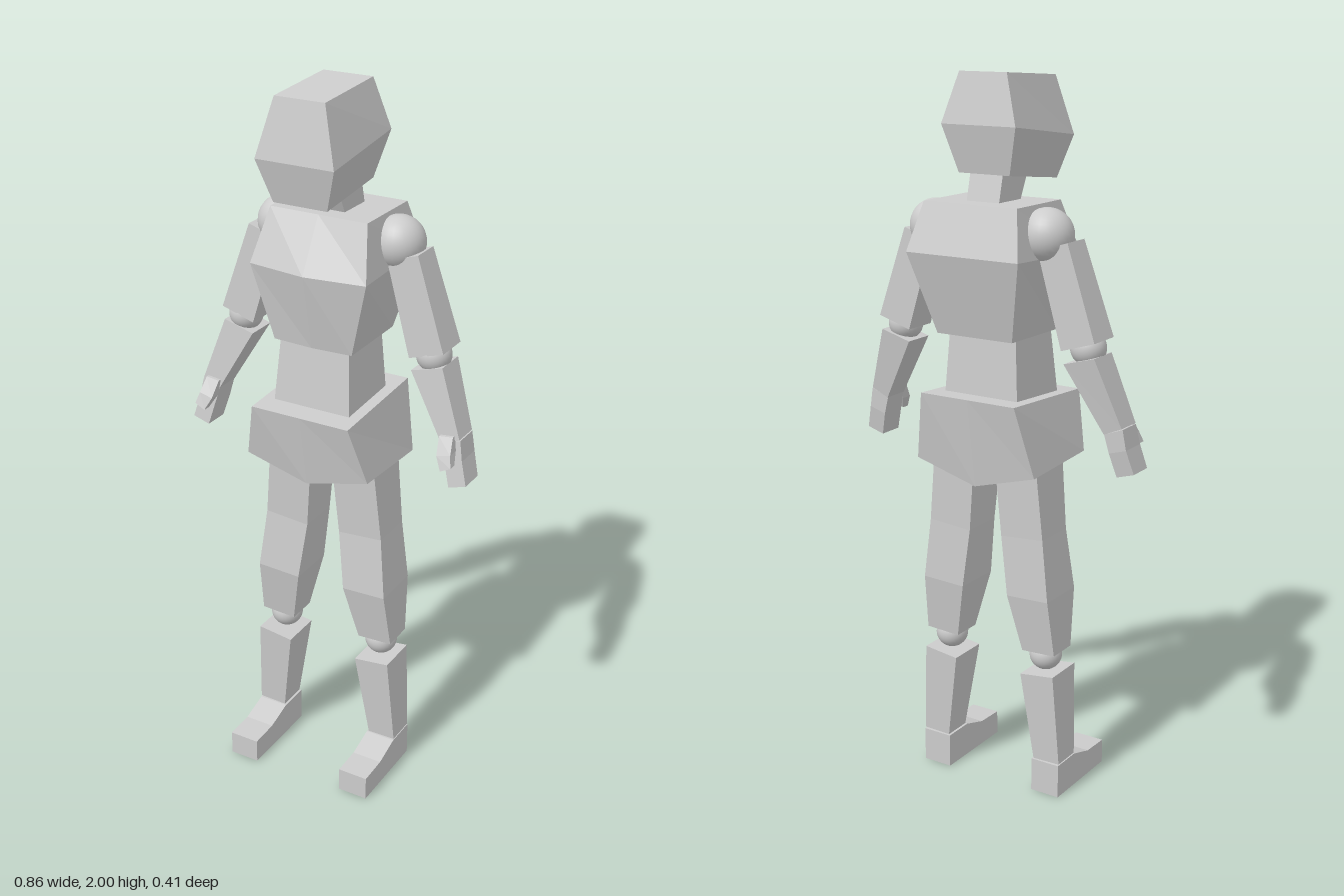
import * as THREE from 'three';

const grey = new THREE.MeshStandardMaterial({ color: 0xcccccc });
grey.name = 'light grey';

// Joins rings of points (listed top to bottom, each counter-clockwise from above) into a faceted solid.
function loft(name, rings) {
  const p = [];
  const tri = (a, b, c) => p.push(...a, ...b, ...c);
  const n = rings[0].length;
  for (let r = 0; r < rings.length - 1; r++) {
    const a = rings[r], b = rings[r + 1];
    for (let i = 0; i < n; i++) {
      const j = (i + 1) % n;
      tri(a[i], b[i], b[j]);
      tri(a[i], b[j], a[j]);
    }
  }
  const top = rings[0], bottom = rings[rings.length - 1];
  for (let i = 1; i < n - 1; i++) {
    tri(top[0], top[i], top[i + 1]);
    tri(bottom[0], bottom[i + 1], bottom[i]);
  }
  const g = new THREE.BufferGeometry();
  g.setAttribute('position', new THREE.Float32BufferAttribute(p, 3));
  g.computeVertexNormals();
  const m = new THREE.Mesh(g, grey);
  m.name = name;
  return m;
}

// Symmetric four-cornered ring: half width, front y and z, back y and z.
const quad = (w, yf, zf, yb, zb) => [[-w, yf, zf], [w, yf, zf], [w, yb, zb], [-w, yb, zb]];

// Symmetric six-cornered ring with a ridge down the front and back: centre heights and depths may differ.
const hexa = (w, yf, zf, yb, zb, ycf = yf, zcf = zf, ycb = yb, zcb = zb) =>
  [[0, ycf, zcf], [w, yf, zf], [w, yb, zb], [0, ycb, zcb], [-w, yb, zb], [-w, yf, zf]];

// Limb ring on side s: inner x and y, outer x and y, front z, back z.
function limbRing(s, [xi, yi, xo, yo, zf, zb]) {
  const [l, r] = s > 0 ? [[xi, yi], [xo, yo]] : [[-xo, yo], [-xi, yi]];
  return [[...l, zf], [...r, zf], [...r, zb], [...l, zb]];
}

function ball(name, r, x, y, z) {
  const m = new THREE.Mesh(new THREE.SphereGeometry(r, 28, 18), grey);
  m.name = name;
  m.position.set(x, y, z);
  return m;
}

function createArm(s) {
  const arm = new THREE.Group();
  arm.name = s > 0 ? 'leftArm' : 'rightArm';
  const limb = (name, sections) => loft(name, sections.map((c) => limbRing(s, c)));
  arm.add(
    ball('shoulder', 0.071, s * 0.173, 1.597, -0.065),
    limb('upperArm', [
      [0.165, 1.56, 0.253, 1.588, -0.015, -0.1],
      [0.24, 1.31, 0.338, 1.34, -0.004, -0.105]]),
    ball('elbow', 0.048, s * 0.29, 1.315, -0.05),
    limb('forearm', [
      [0.245, 1.275, 0.335, 1.3, -0.008, -0.1],
      [0.348, 1.095, 0.4, 1.117, 0.01, -0.066]]),
    limb('hand', [
      [0.348, 1.095, 0.402, 1.115, 0.008, -0.064],
      [0.362, 1.045, 0.412, 1.06, 0.015, -0.062],
      [0.38, 0.98, 0.43, 0.995, 0.024, -0.05]]),
    limb('thumb', [
      [0.345, 1.12, 0.385, 1.125, 0.018, -0.01],
      [0.352, 1.075, 0.392, 1.085, 0.045, 0.012],
      [0.37, 1.04, 0.4, 1.055, 0.058, 0.035]]));
  return arm;
}

function createLeg(s) {
  const leg = new THREE.Group();
  leg.name = s > 0 ? 'leftLeg' : 'rightLeg';
  const limb = (name, sections) => loft(name, sections.map((c) => limbRing(s, c)));
  leg.add(
    limb('thigh', [
      [0.03, 0.97, 0.16, 0.985, 0.055, -0.085],
      [0.048, 0.76, 0.18, 0.77, 0.045, -0.08],
      [0.07, 0.59, 0.2, 0.595, 0.06, -0.085],
      [0.105, 0.425, 0.208, 0.43, 0.03, -0.06]]),
    ball('knee', 0.046, s * 0.155, 0.412, -0.015),
    limb('shin', [
      [0.105, 0.357, 0.21, 0.37, 0.05, -0.07],
      [0.142, 0.1, 0.225, 0.102, 0.028, -0.057]]));

  // Foot: side outline swept across its width
  const outline = [[-0.06, 0], [0.195, 0], [0.195, 0.07], [0.11, 0.073], [0.03, 0.098], [-0.06, 0.098]];
  const shape = new THREE.Shape(outline.map(([z, y]) => new THREE.Vector2(-z, y)));
  const geo = new THREE.ExtrudeGeometry(shape, { depth: 0.088, bevelEnabled: false });
  geo.translate(0, 0, -0.044);
  geo.rotateY(Math.PI / 2);
  const foot = new THREE.Mesh(geo, grey);
  foot.name = 'foot';
  foot.position.x = s * 0.181;
  leg.add(foot);

  // Slightly staggered stance
  leg.position.set(0.01, 0, s * -0.006);
  return leg;
}

export function createModel() {
  const model = new THREE.Group();
  model.name = 'mannequin';
  model.add(
    loft('head', [
      quad(0.072, 1.985, 0.137, 2.0, -0.1),
      quad(0.113, 1.83, 0.166, 1.868, -0.124),
      quad(0.078, 1.717, 0.138, 1.743, -0.096)]),
    loft('neck', [
      quad(0.05, 1.74, 0.035, 1.76, -0.08),
      quad(0.05, 1.66, -0.005, 1.66, -0.105)]),
    loft('chest', [
      hexa(0.143, 1.673, 0.05, 1.673, -0.163),
      hexa(0.172, 1.53, 0.107, 1.543, -0.205, 1.53, 0.13),
      hexa(0.117, 1.32, 0.08, 1.323, -0.145, 1.32, 0.087)]),
    loft('waist', [
      quad(0.103, 1.34, 0.068, 1.34, -0.105),
      quad(0.116, 1.13, 0.09, 1.13, -0.117)]),
    loft('pelvis', [
      hexa(0.147, 1.143, 0.153, 1.163, -0.183),
      hexa(0.187, 0.98, 0.115, 0.967, -0.146, 0.933, 0.117, 0.915, -0.146)]));
  for (const s of [1, -1]) model.add(createArm(s), createLeg(s));
  return model;
}
